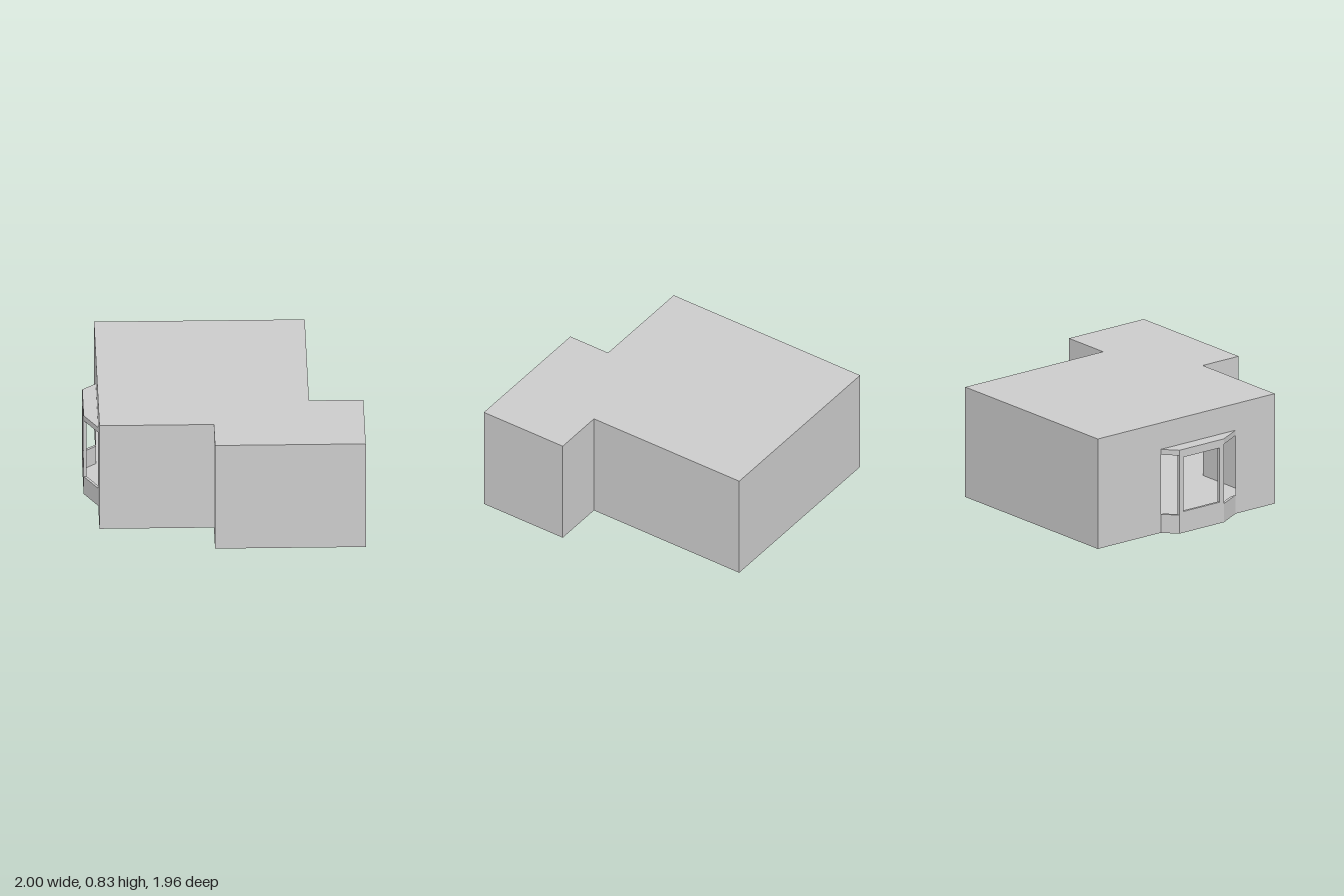
import * as THREE from 'three';

const HEIGHT = 0.83, SILL = 0.14, HEAD = 0.59, BAY_TOP = 0.63;
const WALL_X = -0.9, BAY_X = -1;

// Plan outlines as [x, z]
const footprint = [
  [WALL_X, 0.65], [-0.08, 0.65], [-0.08, 0.98], [1, 0.98],
  [1, 0.29], [0.61, 0.29], [0.61, -0.98], [WALL_X, -0.98],
];
const bayPlan = [[WALL_X, -0.4], [BAY_X, -0.31], [BAY_X, 0.1], [WALL_X, 0.29]];
const bayInner = [[WALL_X, 0.247], [-0.98, 0.095], [-0.98, -0.301], [WALL_X, -0.373]];

const material = new THREE.MeshStandardMaterial({
  color: 0xcccccc, flatShading: true, side: THREE.DoubleSide,
});

const planShape = (points) => new THREE.Shape(points.map(([x, z]) => new THREE.Vector2(x, -z)));

function rectPath(Type, u0, v0, u1, v1) {
  return new Type([[u0, v0], [u1, v0], [u1, v1], [u0, v1]].map((p) => new THREE.Vector2(...p)));
}

function addMesh(parent, name, geometry) {
  const mesh = new THREE.Mesh(geometry, material);
  mesh.name = name;
  parent.add(mesh);
  return mesh;
}

// Flat horizontal sheet at height y
function sheet(points, y) {
  return new THREE.ShapeGeometry(planShape(points)).rotateX(-Math.PI / 2).translate(0, y, 0);
}

// Solid raised from a plan, between two heights
function prism(points, y0, y1) {
  return new THREE.ExtrudeGeometry(planShape(points), { depth: y1 - y0, bevelEnabled: false })
    .rotateX(-Math.PI / 2).translate(0, y0, 0);
}

export function createModel() {
  const model = new THREE.Group();
  model.name = 'house';

  // Hollow shell: thin walls around the footprint
  const walls = new THREE.Group();
  walls.name = 'walls';
  model.add(walls);
  footprint.forEach(([ax, az], i) => {
    const [bx, bz] = footprint[(i + 1) % footprint.length];
    const length = Math.hypot(bx - ax, bz - az);
    let shape = rectPath(THREE.Shape, 0, 0, length, HEIGHT);
    if (ax === WALL_X && bx === WALL_X) {
      // Opening into the bay, reaching the floor
      const u0 = -0.4 - az, u1 = 0.29 - az;
      shape = new THREE.Shape([
        [0, 0], [u0, 0], [u0, HEAD], [u1, HEAD], [u1, 0], [length, 0], [length, HEIGHT], [0, HEIGHT],
      ].map((p) => new THREE.Vector2(...p)));
    }
    const wall = addMesh(walls, 'wall', new THREE.ShapeGeometry(shape));
    wall.position.set(ax, 0, az);
    wall.rotation.y = Math.atan2(az - bz, bx - ax);
  });
  addMesh(model, 'roof', sheet(footprint, HEIGHT));
  addMesh(model, 'floor', sheet(footprint, 0));

  // Bay window on the side wall
  const bay = new THREE.Group();
  bay.name = 'bayWindow';
  model.add(bay);
  addMesh(bay, 'bayFloor', sheet(bayPlan, 0));
  addMesh(bay, 'bayLowWall', prism([...bayPlan, ...bayInner], 0, SILL));
  addMesh(bay, 'bayRoof', prism(bayPlan, HEAD, BAY_TOP));

  // Front window frame of the bay
  const frame = rectPath(THREE.Shape, -0.1, SILL, 0.31, HEAD);
  frame.holes.push(rectPath(THREE.Path, -0.06, SILL + 0.02, 0.27, HEAD - 0.02));
  const frameGeometry = new THREE.ExtrudeGeometry(frame, { depth: 0.02, bevelEnabled: false })
    .rotateY(Math.PI / 2).translate(BAY_X, 0, 0);
  addMesh(bay, 'windowFrame', frameGeometry);

  return model;
}
